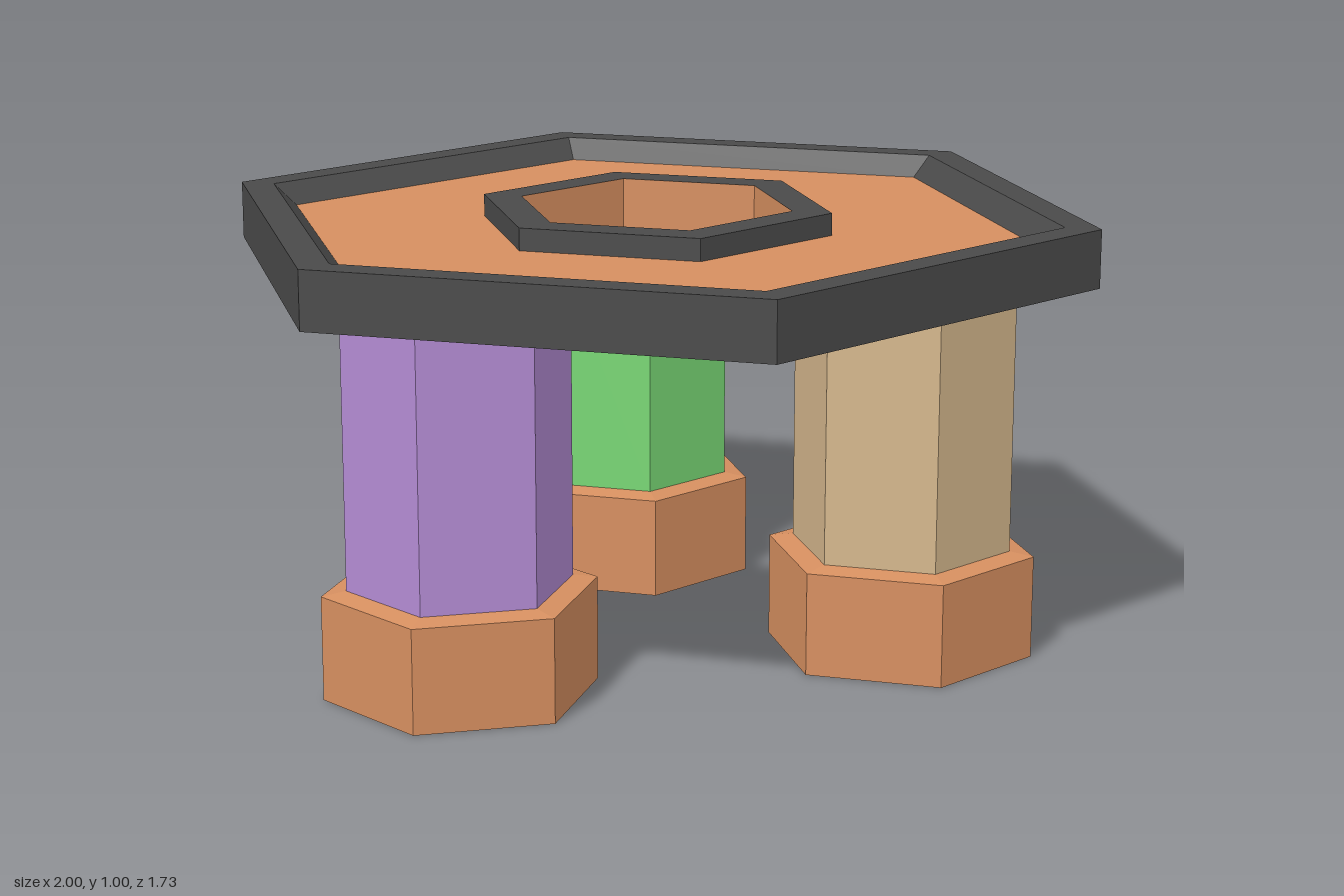
import * as THREE from 'three';

const ORANGE = 0xd68f60, DARK = 0x4a4a4a, PURPLE = 0xb48cd4, TAN = 0xd4b68c, GREEN = 0x78d674;

// Six-sided surface of revolution from [radius, y] pairs
function hexLathe(name, color, profile, turn = 0) {
  const points = profile.map(([r, y]) => new THREE.Vector2(r, y));
  const geometry = new THREE.LatheGeometry(points, 6, turn, Math.PI * 2);
  const material = new THREE.MeshStandardMaterial({ color, flatShading: true, side: THREE.DoubleSide });
  const mesh = new THREE.Mesh(geometry, material);
  mesh.name = name;
  return mesh;
}

// Hexagonal post standing in a hollow, open-bottomed foot
function makeLeg(name, color, x, z, turn) {
  const leg = new THREE.Group();
  leg.name = name;
  leg.add(
    hexLathe('post', color, [[0.25, 0.24], [0.25, 0.87]], turn),
    hexLathe('foot', ORANGE, [[0.305, 0], [0.305, 0.235], [0.25, 0.244], [0, 0.244]], turn)
  );
  leg.position.set(x, 0, z);
  return leg;
}

export function createModel() {
  const model = new THREE.Group();
  model.name = 'hexagonalTable';

  // Tabletop: raised rim, sunken panel, collar around the hole, underside
  const corner = Math.PI / 6;
  const top = new THREE.Group();
  top.name = 'tabletop';
  top.add(
    hexLathe('outerRim', DARK, [[1, 0.87], [1, 1], [0.92, 1], [0.865, 0.953]], corner),
    hexLathe('panel', ORANGE, [[0.865, 0.953], [0.405, 0.953]], corner),
    hexLathe('holeCollar', DARK, [[0.405, 0.953], [0.405, 1.003], [0.315, 1.003]], corner),
    hexLathe('holeWallAndUnderside', ORANGE, [[0.315, 1.003], [0.315, 0.87], [1, 0.87]], corner)
  );
  model.add(top);

  // Three legs
  model.add(
    makeLeg('rightLeg', PURPLE, -0.585, 0, 0),
    makeLeg('frontLeftLeg', TAN, 0.33, 0.457, corner),
    makeLeg('backLeftLeg', GREEN, 0.33, -0.449, corner)
  );
  return model;
}
